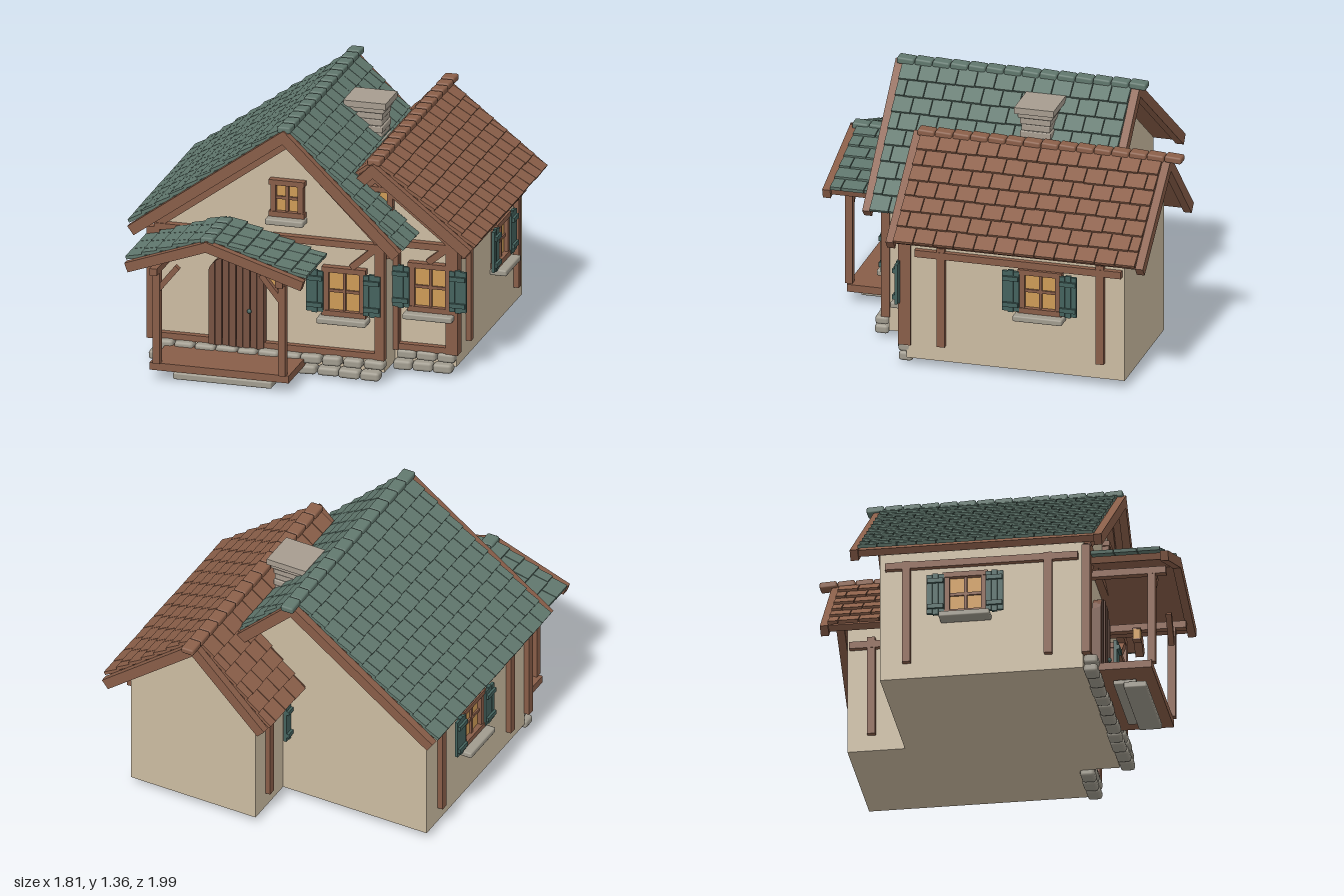
import * as THREE from 'three';
import { mergeGeometries } from 'three/addons/utils/BufferGeometryUtils.js';
import { RoundedBoxGeometry } from 'three/addons/geometries/RoundedBoxGeometry.js';

const paint = (name, color) => Object.assign(new THREE.MeshStandardMaterial({ color }), { name });

export function createModel() {
  const house = new THREE.Group();
  house.name = 'cottage';
  const M = {
    plaster: paint('plaster', 0xcbbba1), timber: paint('timber', 0x885d48),
    greenTile: paint('green tile', 0x60776d), brownTile: paint('brown tile', 0x8b5f49),
    shutter: paint('shutter green', 0x44625d), stone: paint('stone', 0xa09b8e),
    glass: paint('lit glass', 0xcd9a56), door: paint('door wood', 0x765141),
    chimney: paint('chimney stone', 0xa69c8f),
  };
  let seed = 7;
  const rnd = () => (seed = (seed * 16807) % 2147483647) / 2147483647;

  const add = (parent, name, geo, mat, x = 0, y = 0, z = 0) => {
    const m = new THREE.Mesh(geo, mat);
    m.name = name;
    m.position.set(x, y, z);
    parent.add(m);
    return m;
  };
  // Box given by its low and high limits on each axis
  const span = (parent, name, mat, x0, x1, y0, y1, z0, z1) =>
    add(parent, name, new THREE.BoxGeometry(x1 - x0, y1 - y0, z1 - z0), mat, (x0 + x1) / 2, (y0 + y1) / 2, (z0 + z1) / 2);
  // Timber lying in a plane of constant z, from (x0,y0) to (x1,y1)
  const beam = (name, x0, y0, x1, y1, z, h = 0.035, d = 0.04) => {
    const m = add(house, name, new THREE.BoxGeometry(Math.hypot(x1 - x0, y1 - y0), h, d), M.timber, (x0 + x1) / 2, (y0 + y1) / 2, z);
    m.rotation.z = Math.atan2(y1 - y0, x1 - x0);
  };
  const extrude = (points, depth) =>
    new THREE.ExtrudeGeometry(new THREE.Shape(points.map(p => new THREE.Vector2(...p))), { depth, bevelEnabled: false });

  // Plaster bodies
  add(house, 'mainWalls', extrude([[-0.78, 0.045], [0.46, 0.045], [0.46, 0.77], [-0.055, 1.28], [-0.78, 0.755]], 1.06), M.plaster, 0, 0, -0.51);
  add(house, 'wingWalls', extrude([[0.06, 0.045], [0.79, 0.045], [0.79, 0.74], [0.36, 1.07], [0.06, 0.765]], 1.17), M.plaster, 0, 0, -0.81);

  // One roof slope: deck, verge boards and staggered tile rows; local +x runs down the slope
  function slope(name, ridge, eave, z0, z1, mat, verges, vergeH) {
    const g = new THREE.Group(), dx = eave[0] - ridge[0], dy = eave[1] - ridge[1];
    g.name = name;
    g.position.set(ridge[0], ridge[1], (z0 + z1) / 2);
    g.rotation.set(0, dx < 0 ? Math.PI : 0, Math.atan2(dy, Math.abs(dx)));
    const L = Math.hypot(dx, dy), W = z1 - z0, flip = dx < 0 ? -1 : 1;
    span(g, 'roofDeck', M.timber, 0, L - 0.01, -0.02, 0.015, -W / 2, W / 2);
    for (const v of verges) {
      const c = flip * v * (W / 2 - 0.02);
      span(g, 'vergeBoard', M.timber, -0.015, L + 0.01, -vergeH, 0.022, c - 0.021, c + 0.021);
    }
    const rows = Math.round(L / 0.092), pitch = L / rows, half = W / 2 - 0.04, cols = Math.round(2 * half / 0.105), tw = 2 * half / cols;
    const tiles = [];
    for (let r = 0; r < rows; r++) for (let c = 0; c <= cols; c++) {
      const a = Math.max(-half, -half + (c - (r % 2) / 2) * tw), b = Math.min(half, -half + (c + 1 - (r % 2) / 2) * tw);
      if (b - a < 0.01) continue;
      const len = pitch * 1.12 + rnd() * 0.008;
      tiles.push(new THREE.BoxGeometry(len, 0.018, b - a - 0.004).rotateZ(0.12 + rnd() * 0.03)
        .translate((r + 0.5) * pitch + 0.004, 0.03, (a + b) / 2));
    }
    add(g, 'tiles', mergeGeometries(tiles), mat);
    house.add(g);
  }
  // Row of ridge caps
  function ridgeCaps(name, x, y, z0, z1, mat) {
    const n = Math.round((z1 - z0) / 0.093), p = (z1 - z0) / n, caps = [];
    for (let i = 0; i < n; i++)
      caps.push(new RoundedBoxGeometry(0.072, 0.036, p * 0.97, 1, 0.01).rotateX(-0.06).translate(x, y, z0 + (i + 0.5) * p));
    add(house, name, mergeGeometries(caps), mat);
  }
  const roofs = [
    ['mainRoof', [-0.055, 1.32], [[-0.87, 0.733], [0.55, 0.733]], -0.65, 0.66, M.greenTile, [-1, 1], 0.035],
    ['wingRoof', [0.36, 1.105], [[-0.035, 0.71], [0.87, 0.705]], -0.935, 0.443, M.brownTile, [-1, 1], 0.035],
    ['porchRoof', [-0.37, 0.798], [[-0.79, 0.648], [0.14, 0.64]], 0.55, 0.995, M.greenTile, [1], 0.03],
  ];
  for (const [name, ridge, eaves, ...rest] of roofs) for (const e of eaves) slope(name + 'Slope', ridge, e, ...rest);
  ridgeCaps('mainRidgeCaps', -0.055, 1.345, -0.69, 0.65, M.greenTile);
  ridgeCaps('wingRidgeCaps', 0.36, 1.132, -1.0, 0.42, M.brownTile);
  ridgeCaps('porchRidgeCaps', -0.37, 0.822, 0.62, 0.98, M.greenTile);

  // Timber frame of the front walls
  span(house, 'cornerPost', M.timber, -0.81, -0.74, 0.12, 0.73, 0.545, 0.59);
  span(house, 'cornerPost', M.timber, 0.418, 0.468, 0.12, 0.74, 0.545, 0.59);
  span(house, 'wingPost', M.timber, 0.455, 0.488, 0.12, 0.72, 0.335, 0.4);
  span(house, 'wingPost', M.timber, 0.742, 0.808, 0.12, 0.73, 0.335, 0.4);
  beam('sillBeam', -0.8, 0.138, 0.465, 0.138, 0.565);
  beam('wingSillBeam', 0.46, 0.138, 0.8, 0.138, 0.375);
  beam('tieBeam', -0.77, 0.735, 0.47, 0.735, 0.57);
  beam('wingTieBeam', 0.46, 0.7, 0.79, 0.7, 0.38);
  beam('gableRafter', -0.75, 0.745, -0.055, 1.25, 0.565);
  beam('gableRafter', 0.45, 0.745, -0.055, 1.25, 0.565);
  beam('wingGableRafter', 0.76, 0.725, 0.36, 1.04, 0.375);
  beam('wingGableRafter', 0.1, 0.765, 0.36, 1.04, 0.375);
  beam('brace', 0.29, 0.61, 0.425, 0.73, 0.565);
  beam('brace', -0.74, 0.6, -0.62, 0.73, 0.565);
  beam('wingBrace', 0.645, 0.61, 0.755, 0.7, 0.375);

  // Timber on the side walls
  for (const x of [-0.79, 0.47]) {
    span(house, 'mainSideBeam', M.timber, x - 0.02, x + 0.02, 0.658, 0.695, -0.48, 0.525);
    for (const z of [-0.37, 0.37]) span(house, 'mainSidePost', M.timber, x - 0.02, x + 0.02, 0.13, 0.7, z - 0.021, z + 0.021);
  }
  for (const x of [0.05, 0.8]) {
    span(house, 'wingSideBeam', M.timber, x - 0.02, x + 0.02, 0.62, 0.658, -0.797, 0.31);
    for (const z of [-0.683, 0.17]) span(house, 'wingSidePost', M.timber, x - 0.018, x + 0.018, 0.132, 0.68, z - 0.021, z + 0.021);
  }

  // Window facing local +z, with optional plank shutters
  function makeWindow(name, w, h, x, y, z, turn, shutters) {
    const g = new THREE.Group(), t = 0.028;
    g.name = name;
    g.position.set(x, y, z);
    g.rotation.y = turn;
    house.add(g);
    span(g, 'glass', M.glass, -w / 2 + t, w / 2 - t, -h / 2 + t, h / 2 - t, 0, 0.012);
    for (const s of [-1, 1]) {
      span(g, 'jamb', M.timber, s * (w - t) / 2 - t / 2, s * (w - t) / 2 + t / 2, -h / 2, h / 2, 0, 0.035);
      span(g, 'rail', M.timber, -w / 2 - 0.008, w / 2 + 0.008, s * (h - t) / 2 - t / 2, s * (h - t) / 2 + t / 2, 0, 0.04);
      if (!shutters) continue;
      const c = s * (w / 2 + 0.044);
      for (let i = -1; i <= 1; i++) {
        const e = i ? 0 : 0.006;
        span(g, 'shutterPlank', M.shutter, c + i * 0.031 - 0.0145, c + i * 0.031 + 0.0145, -0.112 - e, 0.108 + e, 0.03, 0.047);
      }
      for (const b of [-0.075, 0.07]) span(g, 'shutterBatten', M.shutter, c - 0.042, c + 0.042, b - 0.012, b + 0.012, 0.045, 0.06);
    }
    span(g, 'mullion', M.timber, -0.008, 0.008, -h / 2 + t, h / 2 - t, 0, 0.024);
    span(g, 'transom', M.timber, -w / 2 + t, w / 2 - t, -0.008, 0.008, 0, 0.022);
    const sw = w + (shutters ? 0.045 : 0.03);
    add(g, 'sill', new RoundedBoxGeometry(sw, 0.032, 0.09, 1, 0.008), M.stone, 0, -h / 2 - 0.016, 0.045);
  }
  makeWindow('frontWindow', 0.22, 0.265, 0.25, 0.472, 0.55, 0, true);
  makeWindow('wingFrontWindow', 0.22, 0.265, 0.656, 0.472, 0.36, 0, true);
  makeWindow('wingRightWindow', 0.22, 0.24, 0.79, 0.497, -0.364, Math.PI / 2, true);
  makeWindow('wingInnerWindow', 0.22, 0.24, 0.06, 0.497, -0.364, -Math.PI / 2, true);
  makeWindow('mainSideWindow', 0.22, 0.24, -0.78, 0.497, -0.06, -Math.PI / 2, true);
  makeWindow('atticWindow', 0.175, 0.2, -0.057, 0.952, 0.55, 0, false);
  makeWindow('wingAtticWindow', 0.17, 0.19, 0.37, 0.905, 0.36, 0, false);

  // Arched plank door
  const archTop = x => 0.5 + 0.117 * Math.sqrt(Math.max(0, 1 - (x / 0.153) ** 2));
  const outline = (a, b, n) => [[a, 0.12], [b, 0.12], ...Array.from({ length: n + 1 }, (_, i) => b + (a - b) * i / n).map(x => [x, archTop(x)])];
  add(house, 'doorBack', extrude(outline(-0.151, 0.151, 16), 0.025), M.door, -0.326, 0, 0.55);
  for (let i = 0; i < 8; i++) {
    const a = -0.151 + i * 0.03775;
    add(house, 'doorPlank', extrude(outline(a + 0.002, a + 0.0355, 4), i % 2 ? 0.024 : 0.02), M.door, -0.326, 0, 0.575);
  }
  add(house, 'doorKnob', new THREE.SphereGeometry(0.012, 10, 8), M.shutter, -0.252, 0.325, 0.605);

  // Porch
  span(house, 'porchFloor', M.timber, -0.7, 0.047, 0.06, 0.1, 0.54, 0.895);
  for (const x of [-0.661, 0.014]) {
    span(house, 'porchPost', M.timber, x - 0.019, x + 0.019, 0.1, 0.61, 0.87, 0.91);
    span(house, 'porchPlate', M.timber, x - 0.02, x + 0.02, 0.6, 0.638, 0.55, 0.965);
  }
  beam('porchBrace', -0.65, 0.51, -0.55, 0.635, 0.89, 0.03, 0.03);
  beam('porchBrace', 0.005, 0.51, -0.1, 0.64, 0.89, 0.03, 0.03);
  add(house, 'frontStep', new RoundedBoxGeometry(0.53, 0.036, 0.12, 1, 0.008), M.stone, -0.325, 0.02, 0.79);
  add(house, 'upperStep', new RoundedBoxGeometry(0.5, 0.026, 0.12, 1, 0.006), M.stone, -0.325, 0.044, 0.735);
  span(house, 'lanternGlass', M.glass, -0.098, -0.06, 0.508, 0.566, 0.703, 0.741);
  span(house, 'lanternCap', M.timber, -0.101, -0.057, 0.564, 0.571, 0.7, 0.744);
  span(house, 'lanternBase', M.timber, -0.101, -0.057, 0.503, 0.51, 0.7, 0.744);

  // Two courses of foundation stones along each front
  for (const [x0, x1, z] of [[-0.785, 0.465, 0.59], [0.465, 0.785, 0.373]]) {
    const stones = [];
    for (const [row, y] of [0.04, 0.1].entries()) {
      const n = Math.round((x1 - x0) / 0.118), p = (x1 - x0) / n;
      for (let i = 0; i < n; i++) {
        const w = p * (0.86 + rnd() * 0.16);
        stones.push(new RoundedBoxGeometry(w, 0.044 + rnd() * 0.008, 0.075, 1, 0.016).rotateZ((rnd() - 0.5) * 0.08)
          .translate(x0 + (i + 0.5) * p + (row ? 0.012 : -0.008), y, z + (rnd() - 0.5) * 0.01));
      }
    }
    add(house, 'foundationStones', mergeGeometries(stones), M.stone);
  }

  // Chimney courses and cap
  for (let i = 0; i < 10; i++) {
    const k = i === 9 ? 0.02 : (i % 2) * -0.01;
    add(house, 'chimneyCourse', new RoundedBoxGeometry(0.18 + k, 0.036, 0.165 + k, 1, 0.006), M.chimney, 0.165, 0.91 + i * 0.0365, -0.175);
  }
  add(house, 'chimneyCap', new THREE.BoxGeometry(0.228, 0.034, 0.212), M.chimney, 0.166, 1.266, -0.175);
  return house;
}
